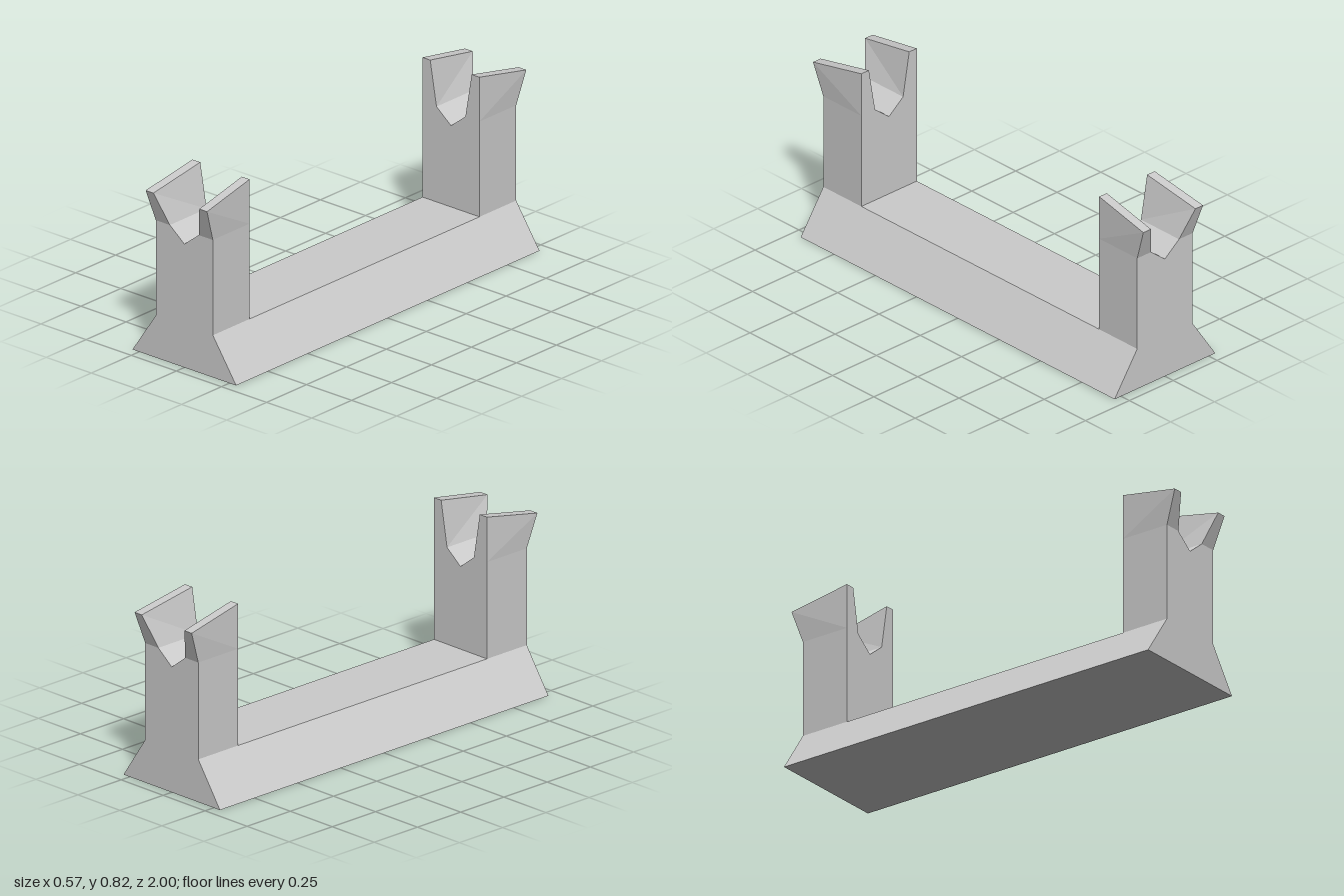
import * as THREE from 'three';

const material = new THREE.MeshStandardMaterial({ color: 0xcccccc, flatShading: true });

const IN = 0.72, OUT = 0.95;   // z range of an upright
const HALF = 0.158;            // half width of an upright
const BASE_H = 0.19, SHOULDER = 0.62;

// Extrudes an outline in x, y from z0 to z1
function prism(name, outline, z0, z1) {
  const shape = new THREE.Shape(outline.map(([x, y]) => new THREE.Vector2(x, y)));
  const geometry = new THREE.ExtrudeGeometry(shape, { depth: z1 - z0, bevelEnabled: false });
  geometry.translate(0, 0, z0);
  const mesh = new THREE.Mesh(geometry, material);
  mesh.name = name;
  return mesh;
}

// Flared prong lofted from a level foot to a sloping tip, mirrored by sx and sz
function prong(name, sx, sz) {
  const foot = [[0.08, SHOULDER, IN], [HALF, SHOULDER, IN], [HALF, SHOULDER, OUT], [0.08, SHOULDER, OUT]];
  const tip = [[0.115, 0.82, IN], [HALF, 0.82, IN], [0.17, 0.767, 1], [0.127, 0.767, 1]];
  const positions = [...foot, ...tip].flatMap(([x, y, z]) => [x * sx, y, z * sz]);

  const index = [4, 7, 6, 4, 6, 5]; // top
  for (let i = 0; i < 4; i++) {
    const j = (i + 1) % 4;
    // the inner side creases the other way, from its rear foot to its front tip
    if (i === 3) index.push(i, i + 4, j, i + 4, j + 4, j);
    else index.push(i, i + 4, j + 4, i, j + 4, j);
  }
  if (sx * sz < 0) index.reverse(); // keep faces outward when mirrored

  const indexed = new THREE.BufferGeometry();
  indexed.setAttribute('position', new THREE.Float32BufferAttribute(positions, 3));
  indexed.setIndex(index);
  const geometry = indexed.toNonIndexed();
  geometry.computeVertexNormals();
  const mesh = new THREE.Mesh(geometry, material);
  mesh.name = name;
  return mesh;
}

export function createModel() {
  const model = new THREE.Group();
  model.name = 'cradleStand';

  // Long base with sloping sides
  model.add(prism('base', [[-0.287, 0], [0.287, 0], [HALF, BASE_H], [-HALF, BASE_H]], -OUT, OUT));

  // An upright with a V notch and two prongs at each end
  const outline = [
    [-HALF, BASE_H], [HALF, BASE_H], [HALF, SHOULDER], [0.08, SHOULDER],
    [0, 0.557], [-0.08, SHOULDER], [-HALF, SHOULDER],
  ];
  for (const [end, sz] of [['front', 1], ['back', -1]]) {
    const support = new THREE.Group();
    support.name = `${end}Support`;
    support.add(prism(`${end}Upright`, outline, sz > 0 ? IN : -OUT, sz > 0 ? OUT : -IN));
    support.add(prong(`${end}LeftProng`, 1, sz), prong(`${end}RightProng`, -1, sz));
    model.add(support);
  }
  return model;
}
